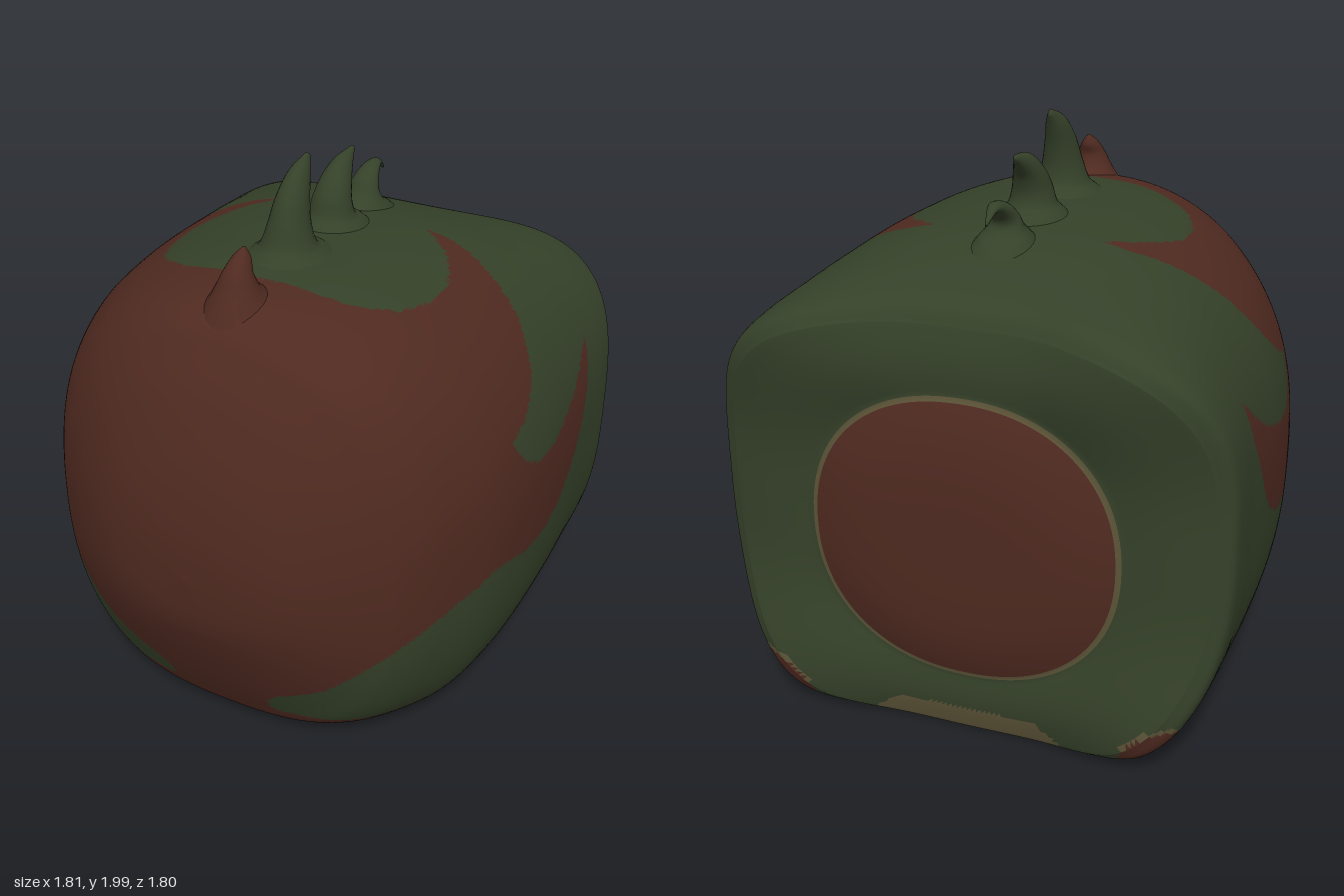
import * as THREE from 'three';

const mat = (name, color) => {
  const m = new THREE.MeshStandardMaterial({ color });
  m.name = name;
  return m;
};

// Skin a list of closed rings; pick(point, row) returns the material index of each triangle
function loft(rings, materialCount, pick) {
  const n = rings[0].length, pos = [];
  const buckets = Array.from({ length: materialCount }, () => []);
  rings.forEach(r => r.forEach(p => pos.push(p.x, p.y, p.z)));
  const at = k => rings[Math.floor(k / n)][k % n];
  const mid = new THREE.Vector3();
  for (let i = 0; i < rings.length - 1; i++) {
    for (let j = 0; j < n; j++) {
      const k = (j + 1) % n;
      const a = i * n + j, b = a + n, c = i * n + k, d = c + n;
      for (const tri of [[a, b, c], [b, d, c]]) {
        mid.set(0, 0, 0);
        tri.forEach(v => mid.add(at(v)));
        buckets[pick(mid.divideScalar(3), i)].push(...tri);
      }
    }
  }
  const g = new THREE.BufferGeometry();
  g.setAttribute('position', new THREE.Float32BufferAttribute(pos, 3));
  let start = 0;
  buckets.forEach((b, m) => { g.addGroup(start, b.length, m); start += b.length; });
  g.setIndex(buckets.flat());
  g.computeVertexNormals();
  return g;
}

const inside = (poly, x, y) => {
  let hit = false;
  for (let i = 0, j = poly.length - 1; i < poly.length; j = i++) {
    const [xi, yi] = poly[i], [xj, yj] = poly[j];
    if ((yi > y) !== (yj > y) && x < (xj - xi) * (y - yi) / (yj - yi) + xi) hit = !hit;
  }
  return hit;
};

// Sections from nose to back: z, half width, top y, unclipped bottom y, roundness of the top
const SECTIONS = [
  [.905, 0, .8, .8, 2.1], [.89, .19, 1.0, .62, 2.1], [.85, .35, 1.2, .49, 2.1],
  [.77, .5, 1.41, .3, 2.15], [.69, .61, 1.54, .13, 2.2], [.62, .685, 1.62, 0, 2.25],
  [.5, .765, 1.67, -.1, 2.35], [.3, .85, 1.69, -.2, 2.4], [.1, .89, 1.69, -.22, 2.45],
  [-.1, .905, 1.685, -.22, 2.5], [-.35, .905, 1.665, -.22, 2.6], [-.55, .9, 1.62, -.2, 2.9],
  [-.68, .9, 1.575, -.17, 3.2], [-.765, .89, 1.53, -.14, 3.4], [-.8, .84, 1.48, -.07, 3.4],
];

// Painted areas: red flame on the side (z, y), green lower front (x, y), green crown (x, z)
const FLAME = [
  [.3, .73], [.2, .725], [.1, .7], [0, .685], [-.1, .69], [-.2, .72], [-.3, .78], [-.38, .86],
  [-.45, .97], [-.5, 1.07], [-.53, 1.16], [-.55, 1.25], [-.51, 1.225], [-.45, 1.17], [-.35, 1.1],
  [-.25, 1.06], [-.15, 1.03], [-.05, 1.02], [.03, 1.035], [.09, 1.07], [.13, 1.12], [.16, 1.17],
  [.1, 1.19], [.03, 1.22], [-.08, 1.31], [-.14, 1.39], [-.2, 1.48], [-.25, 1.56], [-.31, 1.63],
  [-.31, 2], [1, 2], [1, .73],
];
const CHEEK = [
  [.24, .14], [.2, .16], [.2, .21], [.24, .26], [.35, .32], [.43, .36], [.5, .42],
  [.6, .51], [.7, .6], [.78, .67], [.85, .72], [1.2, .74], [1.2, .1],
];
const CROWN = [
  [0, .38], [.2, .375], [.3, .36], [.39, .31], [.45, .25], [.49, .15], [.51, .05], [.5, -.03],
  [.48, -.09], [.44, -.17], [.4, -.22], [.3, -.31], [.3, -.7], [-.1, -.7], [-.1, .38],
];
// Sole panels: centre z, half length, half width
const PANELS = [[.32, .245, .6], [-.17, .225, .68], [-.62, .21, .66]];

const GREEN = 0, RED = 1, TAN = 2;
function paint(p) {
  const x = Math.abs(p.x), { y, z } = p;
  const toe = Math.hypot(x - .74, y - .02, z + .87);
  if (toe < .19) return RED;
  if (toe < .207 && y > .12) return TAN;
  if (y < .1 && PANELS.some(([c, h, w]) => Math.abs(x / w) ** 4 + Math.abs((z - c) / h) ** 3 < 1)) return TAN;
  if (z < -.79) return GREEN;
  if (y < .15) return RED;
  if (y > 1.45 && inside(CROWN, x, z)) return GREEN;
  if (z > .3 && y < .74) return inside(CHEEK, x, y) ? GREEN : RED;
  return inside(FLAME, z, y) ? RED : GREEN;
}

const AROUND = 256, STEPS = 17, MID = .8;

function bodyGeometry() {
  const curveA = new THREE.CatmullRomCurve3(SECTIONS.map(s => new THREE.Vector3(s[0], s[1], s[2])), false, 'catmullrom');
  const curveB = new THREE.CatmullRomCurve3(SECTIONS.map(s => new THREE.Vector3(s[3], s[4], 0)), false, 'catmullrom');
  const angle = j => j / AROUND * Math.PI * 2;
  const rings = [];
  const rows = (SECTIONS.length - 1) * STEPS;
  for (let i = 0; i <= rows; i++) {
    const { x: z, y: w, z: top } = curveA.getPoint(i / rows);
    const { x: bottom, y: round } = curveB.getPoint(i / rows);
    const flare = .095 * THREE.MathUtils.smoothstep(-z, .5, .8);
    rings.push(Array.from({ length: AROUND }, (_, j) => {
      const a = angle(j), c = Math.cos(a), s = Math.sin(a);
      const h = Math.max(s > 0 ? top - MID : MID - bottom, 1e-4), n = s > 0 ? round : 2.4;
      const r = (Math.abs(c / Math.max(w, 1e-4)) ** n + Math.abs(s / h) ** n) ** (-1 / n);
      // soft flattening onto the slightly rounded sole
      const x = r * c, floor = -.003 + .025 * (z + .8) + .07 * x * x;
      const y = MID + r * s, d = y - floor;
      return new THREE.Vector3(x, floor + (d + Math.hypot(d, .07)) / 2, z - flare * Math.sin(2 * a) ** 4);
    }));
  }
  // Back face: blend from the lip to a rounded opening, then a bulging disc
  const lip = rings[rows];
  const oval = (r, z) => Array.from({ length: AROUND }, (_, j) => {
    const c = Math.cos(angle(j)), s = Math.sin(angle(j));
    const k = r * (Math.abs(c / 1.04) ** 2.2 + Math.abs(s / .98) ** 2.2) ** (-1 / 2.2);
    return new THREE.Vector3(k * c, .745 + k * s, z);
  });
  const rim = oval(.522, -.82);
  for (let i = 1; i <= 14; i++) {
    const t = i / 14;
    rings.push(lip.map((p, j) => {
      const q = p.clone().lerp(rim[j], t);
      q.z -= .015 * Math.sin(Math.PI * t);
      return q;
    }));
  }
  const rimRow = rings.length - 1;
  for (let i = 0; i <= 8; i++) {
    const r = .505 * (1 - i / 8);
    rings.push(oval(r, -.827 - .053 * (1 - (r / .505) ** 4)));
  }
  return loft(rings, 3, (p, i) => (i > rimRow ? RED : i === rimRow ? TAN : paint(p)));
}

// Curved horn from its front and back outlines (z, y) and its half widths
function hornGeometry(front, back, widths) {
  const curve = pts => new THREE.CatmullRomCurve3(
    pts.map(([z, y], i) => new THREE.Vector3(widths[i], y, z)), false, 'catmullrom');
  const f = curve(front), b = curve(back), rings = [];
  for (let i = 0; i <= 30; i++) {
    const p = f.getPoint(i / 30), q = b.getPoint(i / 30);
    const centre = p.clone().add(q).multiplyScalar(.5), half = p.clone().sub(centre);
    rings.push(Array.from({ length: 24 }, (_, j) => {
      const a = j / 24 * Math.PI * 2, v = centre.clone().addScaledVector(half, Math.cos(a));
      v.x = -p.x * Math.sin(a);
      return v;
    }));
  }
  const tip = rings[30].reduce((s, v) => s.add(v), new THREE.Vector3()).divideScalar(24);
  rings.push(rings[30].map(() => tip.clone()));
  return loft(rings, 1, () => 0);
}

export function createModel() {
  const green = mat('dark green', 0x354129);
  const red = mat('brown red', 0x4f2a20);
  const tan = mat('olive tan', 0x5c5438);
  const model = new THREE.Group();
  const add = (name, geometry, material) => {
    const mesh = new THREE.Mesh(geometry, material);
    mesh.name = name;
    model.add(mesh);
  };
  add('body', bodyGeometry(), [green, red, tan]);

  // Row of horns along the crown, each with a flared foot
  add('frontHorn', hornGeometry(
    [[.68, 1.53], [.615, 1.645], [.575, 1.71], [.55, 1.755], [.51, 1.8], [.465, 1.825]],
    [[.38, 1.66], [.41, 1.69], [.435, 1.71], [.45, 1.75], [.44, 1.79], [.45, 1.822]],
    [.15, .095, .07, .05, .03, .006]), red);
  add('tallHorn', hornGeometry(
    [[.38, 1.65], [.3, 1.7], [.262, 1.735], [.235, 1.81], [.2, 1.89], [.13, 1.965], [.04, 2.0]],
    [[-.05, 1.65], [.02, 1.698], [.065, 1.72], [.08, 1.78], [.07, 1.86], [.045, 1.93], [.02, 1.985]],
    [.2, .125, .095, .072, .055, .035, .008]), green);
  add('middleHorn', hornGeometry(
    [[.03, 1.64], [-.035, 1.698], [-.065, 1.73], [-.085, 1.79], [-.13, 1.85], [-.2, 1.9], [-.3, 1.915]],
    [[-.35, 1.62], [-.28, 1.69], [-.235, 1.71], [-.22, 1.755], [-.235, 1.81], [-.265, 1.85], [-.315, 1.9]],
    [.18, .11, .085, .07, .055, .035, .007]), green);
  add('rearHorn', hornGeometry(
    [[-.25, 1.62], [-.31, 1.685], [-.35, 1.715], [-.385, 1.76], [-.44, 1.795], [-.51, 1.8], [-.57, 1.75]],
    [[-.6, 1.57], [-.52, 1.648], [-.468, 1.675], [-.445, 1.71], [-.465, 1.745], [-.51, 1.77], [-.565, 1.742]],
    [.15, .09, .068, .053, .038, .02, .004]), green);
  return model;
}
